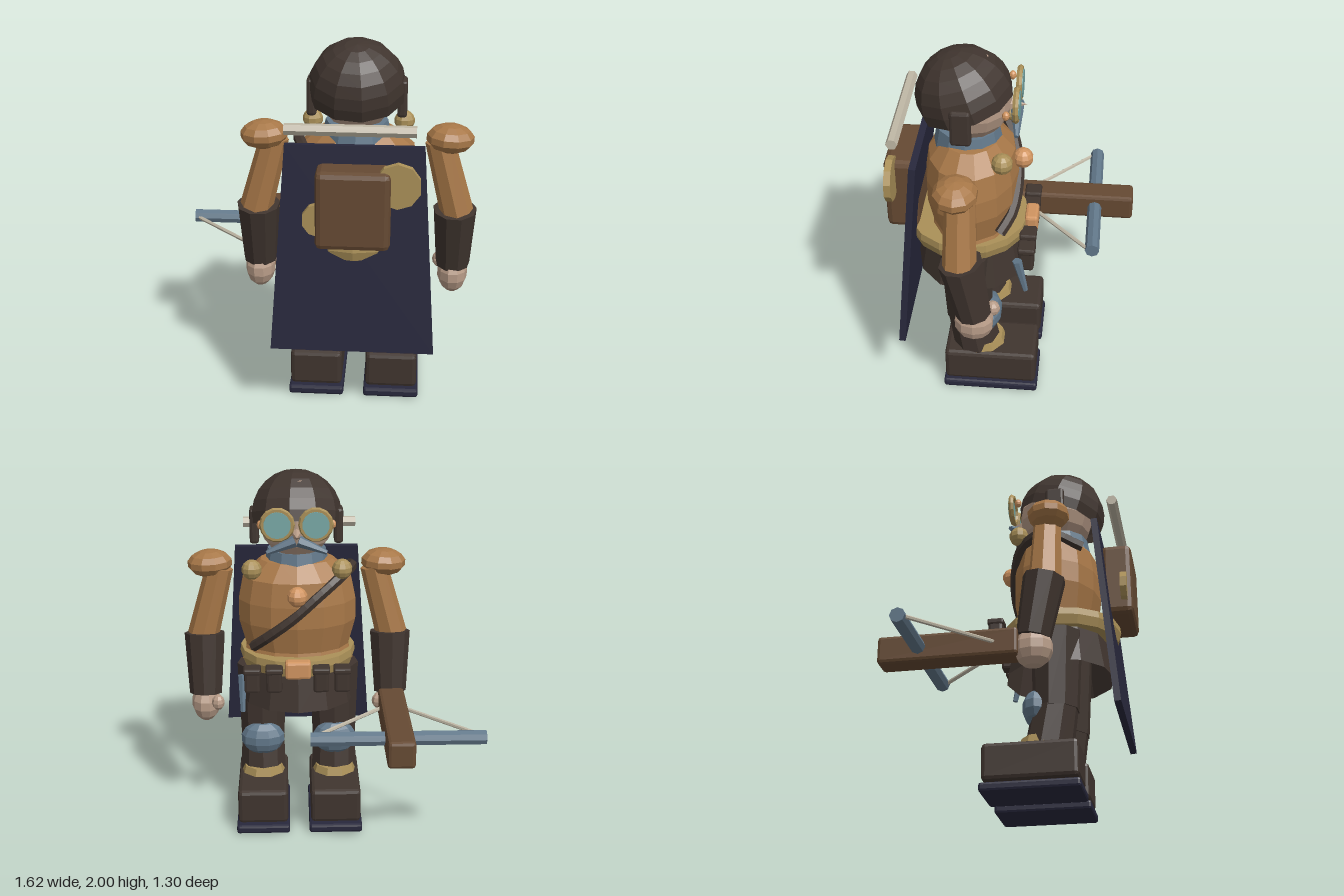
import * as THREE from 'three';
import { RoundedBoxGeometry } from 'three/addons/geometries/RoundedBoxGeometry.js';

const paint = (name, color) => {
  const m = new THREE.MeshStandardMaterial({ color, flatShading: true, side: THREE.DoubleSide });
  m.name = name;
  return m;
};
const V = (x, y, z) => new THREE.Vector3(x, y, z);

export function createModel() {
  const dark = paint('darkHide', 0x40352f);
  const leather = paint('leather', 0xa87848);
  const wood = paint('wood', 0x664a33);
  const gold = paint('brass', 0xaa9058);
  const skin = paint('skin', 0xb89c88);
  const navy = paint('navyCloth', 0x28283c);
  const steel = paint('steel', 0x62788a);
  const cream = paint('bone', 0xc0b8a6);
  const copper = paint('copper', 0xd09460);
  const glass = paint('lensGlass', 0x78a8a6);

  const model = new THREE.Group();
  model.name = 'adventurer';
  const CX = 0.175, CZ = 0.24; // body axis
  const sides = [['right', -1], ['left', 1]];

  const add = (name, geo, mat, x = 0, y = 0, z = 0) => {
    const m = new THREE.Mesh(geo, mat);
    m.name = name;
    m.position.set(x, y, z);
    model.add(m);
    return m;
  };
  const box = (name, mat, w, h, d, x, y, z, bevel = 0.015) =>
    add(name, new RoundedBoxGeometry(w, h, d, 1, bevel), mat, x, y, z);
  const ball = (name, mat, rx, ry, rz, x, y, z, seg = 10) => {
    const m = add(name, new THREE.SphereGeometry(1, seg, Math.max(6, seg - 3)), mat, x, y, z);
    m.scale.set(rx, ry, rz);
    return m;
  };
  // Tapered rod from a (radius ra) to b (radius rb)
  const rod = (name, mat, a, b, ra, rb = ra, seg = 8) => {
    const d = b.clone().sub(a);
    const m = add(name, new THREE.CylinderGeometry(rb, ra, d.length(), seg), mat);
    m.position.copy(a).addScaledVector(d, 0.5);
    m.quaternion.setFromUnitVectors(V(0, 1, 0), d.normalize());
    return m;
  };
  const lathe = (name, mat, pts, sx, seg) => {
    const m = add(name, new THREE.LatheGeometry(pts.map(p => new THREE.Vector2(...p)), seg), mat, CX, 0, CZ);
    m.scale.x = sx;
    return m;
  };

  // Torso, belt, skirt, collar
  lathe('torso', leather, [[0.0, 0.92], [0.235, 0.95], [0.215, 1.03], [0.245, 1.18], [0.245, 1.3],
    [0.225, 1.43], [0.15, 1.52], [0, 1.54]], 1.35, 14).position.z = 0.215;
  lathe('belt', gold, [[0, 0.92], [0.31, 0.92], [0.325, 0.97], [0.32, 1.01], [0, 1.02]], 1, 16);
  lathe('skirt', dark, [[0.26, 0.93], [0.3, 0.71]], 1.08, 12).position.z = 0.222;
  add('scarf', new THREE.CylinderGeometry(0.16, 0.18, 0.1, 12), steel, CX, 1.525, 0.23);

  // Head, cap and ear flaps
  ball('head', skin, 0.205, 0.215, 0.213, CX, 1.735, 0.215, 12);
  const cap = add('cap', new THREE.SphereGeometry(0.25, 11, 7, 0, Math.PI * 2, 0, Math.PI * 0.56),
    dark, CX, 1.75, 0.245);
  cap.rotation.x = 0.3;
  const patch = add('scalpPatch', new THREE.CylinderGeometry(0.045, 0.045, 0.006, 5), skin, CX, 1.972, 0.16);
  patch.rotation.x = -0.36;
  const nose = add('nose', new THREE.ConeGeometry(0.035, 0.09, 6), skin, CX, 1.705, -0.025);
  nose.rotation.x = -Math.PI / 2;

  for (const [side, s] of sides) {
    const X = d => CX + s * d;
    const n = part => side + part;
    box(n('EarFlap'), dark, 0.05, 0.195, 0.105, X(0.23), 1.7, 0.24);

    // Goggles and moustache
    add(n('GoggleRim'), new THREE.TorusGeometry(0.078, 0.016, 6, 14), gold, X(0.102), 1.765, -0.025);
    const lens = add(n('GoggleLens'), new THREE.CylinderGeometry(0.072, 0.072, 0.02, 14), glass, X(0.102), 1.765, -0.033);
    lens.rotation.x = Math.PI / 2;
    ball(n('GoggleKnob'), copper, 0.02, 0.025, 0.02, X(0.19), 1.755, 0.02, 8);
    rod(n('Moustache'), steel, V(X(0.01), 1.675, -0.02), V(X(0.16), 1.615, -0.03), 0.032, 0.012, 6);

    // Arm
    ball(n('CollarStud'), gold, 0.055, 0.055, 0.055, X(0.243), 1.505, 0.035);
    const pad = ball(n('ShoulderPad'), leather, 0.125, 0.075, 0.115, X(0.48), 1.485, 0.24);
    pad.rotation.z = -s * 0.05;
    rod(n('UpperArm'), leather, V(X(0.425), 1.47, 0.225), V(X(0.53), 1.07, 0.225), 0.075, 0.088);
    rod(n('Forearm'), dark, V(X(0.52), 1.085, 0.22), V(X(0.522), 0.745, 0.16), 0.115, 0.092, 9);
    ball(n('Hand'), skin, 0.082, 0.11, 0.105, X(0.523), 0.69, 0.16);
    ball(n('Thumb'), skin, 0.036, 0.045, 0.04, X(0.45), 0.72, 0.07, 8);

    // Leg and boot
    const lx = X(0.205);
    rod(n('Thigh'), dark, V(lx, 0.9, 0.235), V(lx, 0.46, 0.225), 0.14, 0.125, 9);
    rod(n('Shin'), dark, V(lx, 0.49, 0.225), V(lx, 0.22, 0.18), 0.122, 0.132, 9);
    ball(n('KneePad'), steel, 0.125, 0.1, 0.08, lx, 0.475, 0.125);
    add(n('BootCuff'), new THREE.CylinderGeometry(0.115, 0.14, 0.08, 9), gold, lx, 0.265, 0.155);
    box(n('Boot'), dark, 0.28, 0.2, 0.505, lx, 0.163, 0.103, 0.022);
    box(n('BootSole'), navy, 0.3, 0.05, 0.525, lx, 0.027, 0.103, 0.014);

    // Crossbow string half
    rod(n('BowString'), cream, V(-0.345 + s * 0.44, 0.715, -0.4), V(-0.345 + s * 0.05, 0.715, -0.02), 0.011, 0.011, 6);
  }

  // Chest stud, bandolier, belt pouches, buckle and dagger
  ball('chestStud', copper, 0.055, 0.055, 0.055, CX, 1.375, -0.05);
  const strap = new THREE.CatmullRomCurve3([V(0.42, 1.06, 0.05), V(0.34, 1.13, -0.005), V(0.2, 1.24, -0.028),
    V(0.06, 1.36, -0.005), V(-0.06, 1.45, 0.06), V(-0.13, 1.48, 0.2), V(-0.06, 1.41, 0.39)]);
  add('bandolier', new THREE.TubeGeometry(strap, 18, 0.03, 6), dark);
  for (const d of [-0.24, -0.125, 0.13, 0.25]) {
    box('beltPouch', dark, 0.085, 0.13, 0.08, CX + d, 0.915, -0.09);
    box('pouchFlap', dark, 0.095, 0.035, 0.09, CX + d, 0.975, -0.09, 0.01);
  }
  box('buckle', copper, 0.14, 0.1, 0.07, CX, 0.98, -0.1);
  rod('dagger', steel, V(0.48, 0.93, -0.045), V(0.48, 0.73, -0.09), 0.026, 0.014, 6);

  // Cape: tilted trapezoid slab
  const cape = new THREE.Shape([[-0.35, 0.555], [-0.425, -0.555], [0.425, -0.555], [0.35, 0.555]]
    .map(p => new THREE.Vector2(...p)));
  const capeGeo = new THREE.ExtrudeGeometry(cape, { depth: 0.035, bevelEnabled: false });
  capeGeo.translate(0, 0, -0.0175);
  add('cape', capeGeo, navy, CX, 0.965, 0.52).rotation.x = -0.09;

  // Backpack, brass discs and bedroll pole
  box('backpack', wood, 0.375, 0.415, 0.17, CX, 1.225, 0.567, 0.03);
  for (const [x, y, r] of [[0.395, 1.36, 0.118], [0.01, 1.17, 0.09]])
    add('brassDisc', new THREE.CylinderGeometry(r, r, 0.035, 10), gold, x, y, 0.607).rotation.x = Math.PI / 2;
  rod('pole', cream, V(-0.165, 1.63, 0.572), V(0.48, 1.63, 0.572), 0.03, 0.03, 6);

  // Crossbow
  box('crossbowStock', wood, 0.145, 0.15, 0.74, -0.347, 0.715, -0.28, 0.018);
  rod('crossbowLimb', steel, V(-0.81, 0.715, -0.43), V(0.115, 0.715, -0.43), 0.04, 0.04, 8);

  return model;
}
